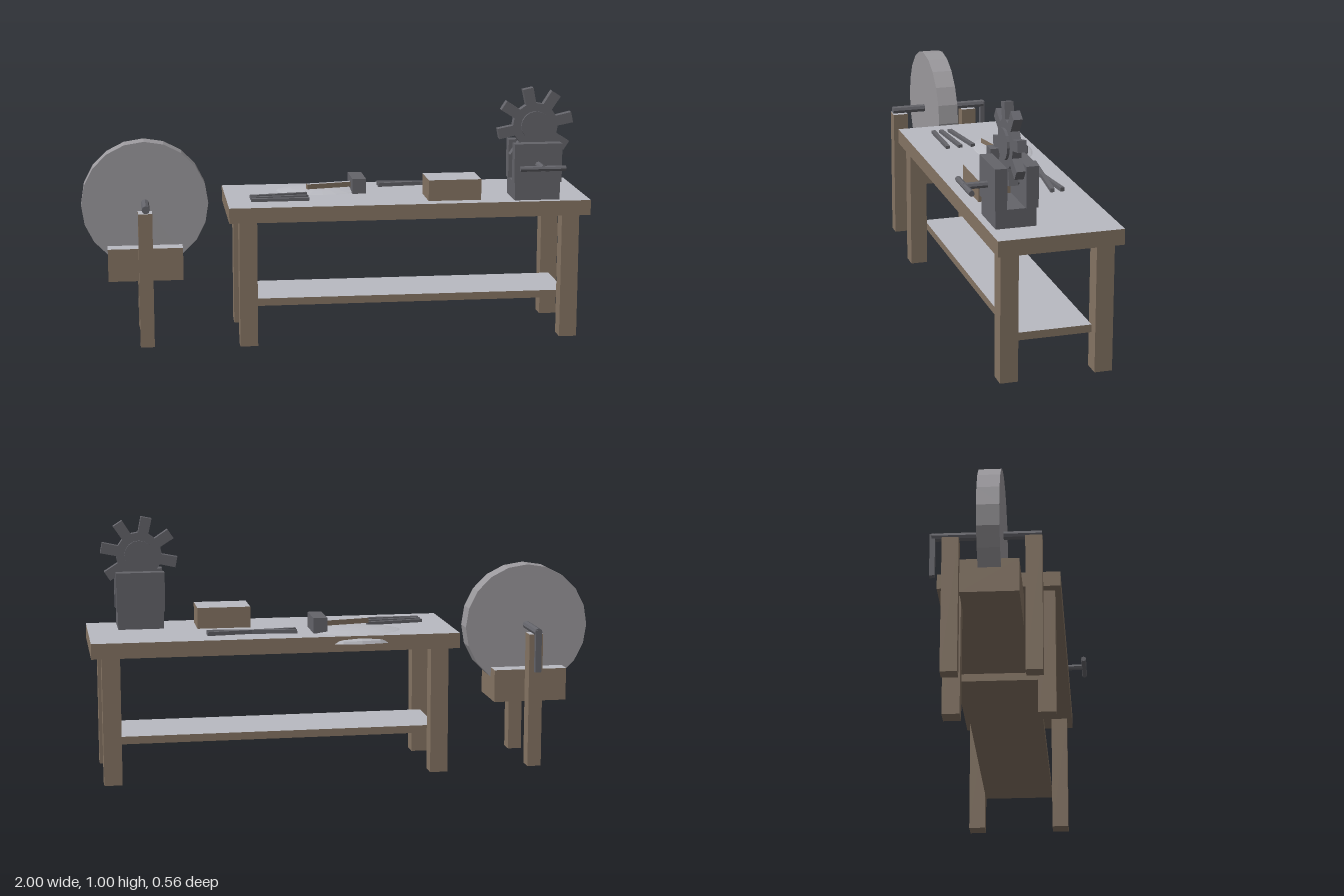
import * as THREE from 'three';

const mat = (name, color, extra = {}) => {
  const m = new THREE.MeshStandardMaterial({ color, flatShading: true, ...extra });
  m.name = name;
  return m;
};

export function createModel() {
  const wood = mat('wood', 0x857463);
  const pale = mat('worn top', 0xb9bac1, { side: THREE.DoubleSide });
  const stone = mat('grindstone', 0x9b999d);
  const metal = mat('dark iron', 0x64646a);
  const woodTop = [wood, wood, pale, wood, wood, wood];

  const model = new THREE.Group();
  model.name = 'workshopBench';

  const add = (parent, name, geometry, material, x = 0, y = 0, z = 0) => {
    const mesh = new THREE.Mesh(geometry, material);
    mesh.name = name;
    mesh.position.set(x, y, z);
    parent.add(mesh);
    return mesh;
  };
  // Box given by its minimum and maximum on each axis
  const box = (parent, name, material, x0, x1, y0, y1, z0, z1) =>
    add(parent, name, new THREE.BoxGeometry(x1 - x0, y1 - y0, z1 - z0), material,
      (x0 + x1) / 2, (y0 + y1) / 2, (z0 + z1) / 2);
  // Cylinder lying along z
  const rodZ = (parent, name, material, r, x, y, z0, z1, sides) => {
    const g = new THREE.CylinderGeometry(r, r, z1 - z0, sides).rotateX(Math.PI / 2);
    return add(parent, name, g, material, x, y, (z0 + z1) / 2);
  };
  // Flat bar lying between two points seen from above
  const bar = (parent, name, material, xa, za, xb, zb, y0, y1, width) => {
    const g = new THREE.BoxGeometry(Math.hypot(xb - xa, zb - za), y1 - y0, width);
    const m = add(parent, name, g, material, (xa + xb) / 2, (y0 + y1) / 2, (za + zb) / 2);
    m.rotation.y = -Math.atan2(zb - za, xb - xa);
    return m;
  };
  const group = (name) => {
    const g = new THREE.Group();
    g.name = name;
    model.add(g);
    return g;
  };

  // Table
  const table = group('table');
  box(table, 'tableTop', woodTop, -0.43, 1, 0.5, 0.56, -0.262, 0.21);
  box(table, 'shelf', woodTop, -0.355, 0.925, 0.145, 0.175, -0.17, 0.12);
  for (const x of [-0.39, 0.89])
    for (const z of [-0.24, 0.12])
      box(table, 'tableLeg', wood, x, x + 0.07, 0, 0.5, z, z + 0.068);

  // Shallow dome spread over the back edge of the table
  const dome = new THREE.SphereGeometry(1, 20, 6, 0, Math.PI * 2, 0, Math.PI / 2);
  dome.scale(0.24, 0.045, 0.155);
  add(table, 'shallowDome', dome, pale, -0.04, 0.53, -0.125);

  // Grinding wheel with its trough, posts and crank
  const grinder = group('grinder');
  rodZ(grinder, 'grindWheel', stone, 0.25, -0.75, 0.545, -0.068, 0.015, 20);
  box(grinder, 'trough', woodTop, -0.9, -0.605, 0.25, 0.38, -0.133, 0.08);
  for (const z of [-0.21, 0.095])
    box(grinder, 'grinderPost', woodTop, -0.78, -0.725, 0, 0.535, z, z + 0.062);
  rodZ(grinder, 'axle', metal, 0.016, -0.75, 0.55, -0.25, 0.155, 8);
  box(grinder, 'crankHandle', metal, -0.762, -0.738, 0.39, 0.56, -0.256, -0.236);

  // Vice
  const vice = group('vice');
  box(vice, 'viceBase', metal, 0.7, 0.88, 0.56, 0.63, 0.03, 0.182);
  for (const z of [0.024, 0.141])
    box(vice, 'viceJaw', metal, 0.695, 0.885, 0.63, 0.785, z, z + 0.046);
  rodZ(vice, 'viceScrew', metal, 0.013, 0.79, 0.702, 0.05, 0.275, 8);
  const lever = new THREE.CylinderGeometry(0.011, 0.011, 0.18, 8).rotateZ(Math.PI / 2);
  add(vice, 'viceLever', lever, metal, 0.79, 0.702, 0.27);

  // Gear held in the vice
  const outline = [];
  for (let i = 0; i < 8; i++)
    for (const [r, turn] of [[0.09, -13], [0.152, -8], [0.152, 8], [0.09, 13]]) {
      const a = THREE.MathUtils.degToRad(12 + 45 * i + turn);
      outline.push(new THREE.Vector2(r * Math.cos(a), r * Math.sin(a)));
    }
  const gear = new THREE.ExtrudeGeometry(new THREE.Shape(outline), { depth: 0.034, bevelEnabled: false });
  add(vice, 'gear', gear, metal, 0.79, 0.847, 0.087);
  rodZ(vice, 'gearHub', metal, 0.058, 0.79, 0.847, 0.078, 0.131, 16);

  // Loose things on the table
  const tools = group('tools');
  box(tools, 'woodBlock', woodTop, 0.36, 0.57, 0.56, 0.643, 0.003, 0.155);
  box(tools, 'hammerHead', metal, 0.08, 0.135, 0.56, 0.62, -0.175, -0.022);
  bar(tools, 'hammerHandle', woodTop, -0.1, -0.06, 0.09, -0.1, 0.577, 0.597, 0.02);
  for (const s of [-1, 1])
    bar(tools, 'tongsArm', metal, 0.2, -0.16 - s * 0.02, 0.55, -0.16 + s * 0.02, 0.564, 0.579, 0.016);
  for (const [za, zb] of [[0.085, 0.085], [0.052, 0.033], [0.015, -0.02]])
    bar(tools, 'chisel', metal, -0.335, za, -0.105, zb, 0.56, 0.572, 0.017);

  return model;
}
